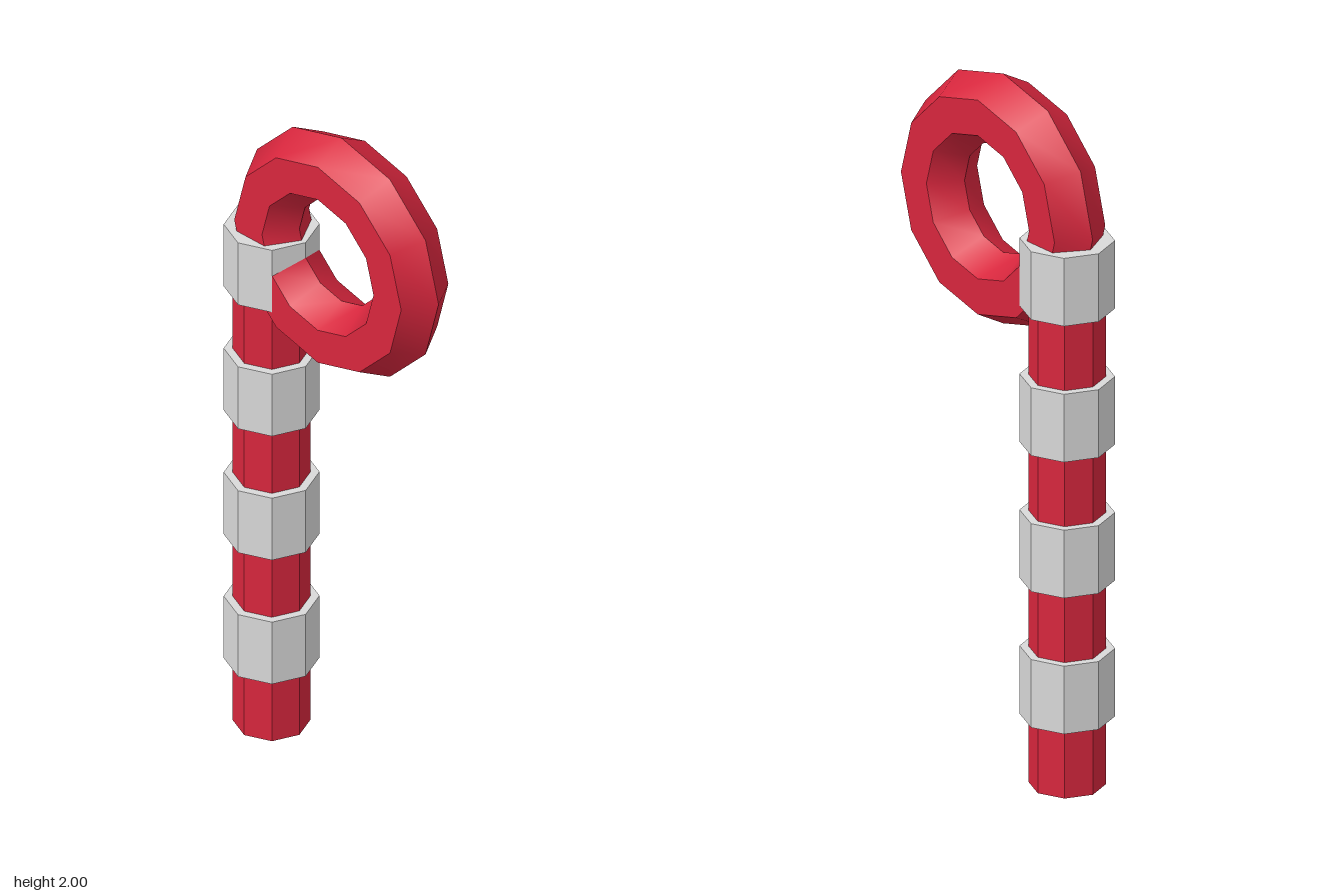
import * as THREE from 'three';
import { toCreasedNormals } from 'three/addons/utils/BufferGeometryUtils.js';

export function createModel() {
  const group = new THREE.Group();
  const red = new THREE.MeshStandardMaterial({ color: 0xd7263d });
  red.name = 'red';
  const lightGrey = new THREE.MeshStandardMaterial({ color: 0xd9d9d9 });
  lightGrey.name = 'light grey';

  const poleX = -0.253;

  function add(name, geometry, material, x, y) {
    // Keep ridges sharp, smooth only the gentle turns
    const mesh = new THREE.Mesh(toCreasedNormals(geometry, Math.PI / 5), material);
    mesh.name = name;
    mesh.position.set(x, y, 0);
    group.add(mesh);
  }

  // Straight octagonal stem
  const stemHeight = 1.59;
  add('stem', new THREE.CylinderGeometry(0.105, 0.105, stemHeight, 8), red, poleX, stemHeight / 2);

  // Evenly spaced octagonal bands
  for (let i = 0; i < 4; i++) {
    add(`band${i + 1}`, new THREE.CylinderGeometry(0.129, 0.129, 0.2, 8), lightGrey, poleX, 0.3 + 0.4 * i);
  }

  // Six-sided ring at the top
  add('ring', new THREE.TorusGeometry(0.263, 0.1045, 6, 12), red, 0.0105, 1.6325);

  return group;
}
